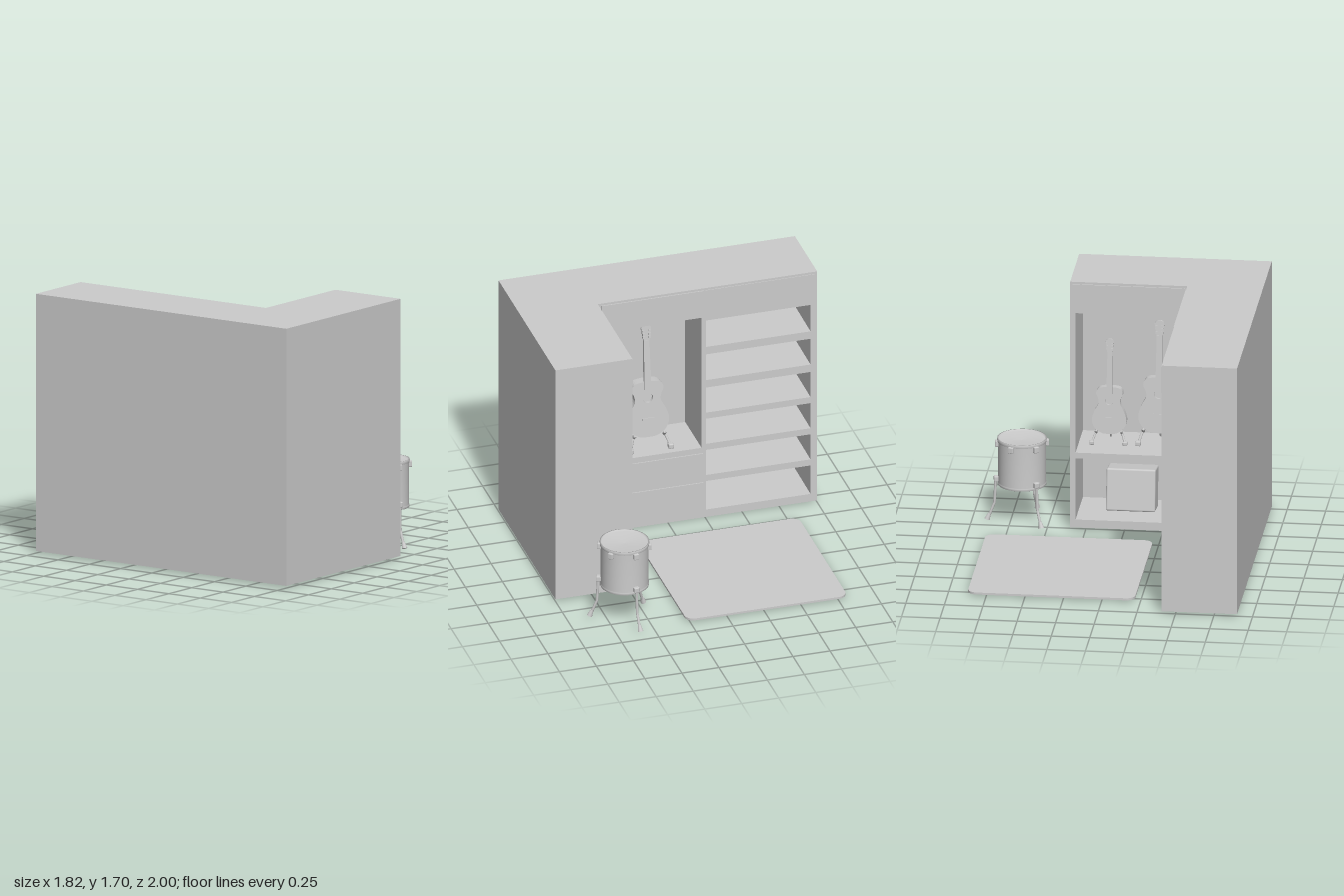
import * as THREE from 'three';
import { RoundedBoxGeometry } from 'three/addons/geometries/RoundedBoxGeometry.js';

const mat = new THREE.MeshStandardMaterial({ color: 0xcccccc });
const V = (x, y, z) => new THREE.Vector3(x, y, z);

function add(parent, name, geometry, x = 0, y = 0, z = 0) {
  const m = new THREE.Mesh(geometry, mat);
  m.name = name;
  m.position.set(x, y, z);
  parent.add(m);
  return m;
}

function group(parent, name, x = 0, y = 0, z = 0, ry = 0) {
  const g = new THREE.Group();
  g.name = name;
  g.position.set(x, y, z);
  g.rotation.y = ry;
  parent.add(g);
  return g;
}

// Box given by its limits
function block(parent, name, x0, x1, y0, y1, z0, z1) {
  return add(parent, name, new THREE.BoxGeometry(x1 - x0, y1 - y0, z1 - z0),
    (x0 + x1) / 2, (y0 + y1) / 2, (z0 + z1) / 2);
}

function rod(parent, name, points, r) {
  const path = new THREE.CurvePath();
  for (let i = 1; i < points.length; i++) path.add(new THREE.LineCurve3(points[i - 1], points[i]));
  return add(parent, name, new THREE.TubeGeometry(path, 24, r, 8));
}

// Inward-facing open box whose back is slightly smaller than its mouth
function recess(parent, name, [x0, x1, y0, y1], depth, [left, right, low, high]) {
  const g = new THREE.BoxGeometry(x1 - x0, y1 - y0, depth);
  g.translate((x0 + x1) / 2, (y0 + y1) / 2, -depth / 2);
  const index = Array.from(g.index.array);
  index.splice(24, 6);
  g.setIndex(index.reverse());
  g.clearGroups();
  const p = g.attributes.position;
  for (let i = 0; i < p.count; i++) {
    if (p.getZ(i) > -depth / 2) continue;
    p.setX(i, p.getX(i) < (x0 + x1) / 2 ? x0 + left : x1 - right);
    p.setY(i, p.getY(i) < (y0 + y1) / 2 ? y0 + low : y1 - high);
  }
  g.computeVertexNormals();
  return add(parent, name, g);
}

// Cabinet front with openings cut through it
function frontFrame(parent, x0, x1, openings) {
  const rect = (C, a, b, c, d) => new C([[a, c], [b, c], [b, d], [a, d]].map(q => new THREE.Vector2(...q)));
  const s = rect(THREE.Shape, x0, x1, 0.01, 1.7);
  for (const o of openings) s.holes.push(rect(THREE.Path, ...o));
  add(parent, 'frontFrame', new THREE.ExtrudeGeometry(s, { depth: 0.02, bevelEnabled: false }), 0, 0, -0.02);
}

function guitar(parent, x, z, scale) {
  const stand = group(parent, 'guitarOnStand', x, 0.525, z);
  stand.scale.setScalar(scale);
  const g = group(stand, 'guitar', 0, 0.08, 0.03);
  g.rotation.x = -0.08;

  // Body outline, mirrored about the centre line
  const half = [[0.06, 0.007], [0.115, 0.045], [0.14, 0.11], [0.122, 0.185], [0.087, 0.255],
    [0.093, 0.3], [0.108, 0.34], [0.088, 0.38], [0.03, 0.393]];
  const outline = [[0, 0], ...half, ...half.map(([a, b]) => [-a, b]).reverse()];
  const curve = new THREE.SplineCurve([...outline, [0, 0]].map(q => new THREE.Vector2(...q)));
  const body = new THREE.Shape(curve.getPoints(90));
  const hole = new THREE.Path();
  hole.absarc(0, 0.277, 0.035, 0, Math.PI * 2, true);
  const back = new THREE.Shape(curve.getPoints(90));
  body.holes.push(hole);
  const opts = d => ({ depth: d, bevelEnabled: false, curveSegments: 20 });
  add(g, 'guitarBody', new THREE.ExtrudeGeometry(body, opts(0.025)), 0, 0, -0.025);
  add(g, 'guitarBack', new THREE.ExtrudeGeometry(back, opts(0.045)), 0, 0, -0.07);

  const neck = new THREE.Shape([[-0.024, 0.34], [0.024, 0.34], [0.018, 0.69], [-0.018, 0.69]]
    .map(q => new THREE.Vector2(...q)));
  add(g, 'guitarNeck', new THREE.ExtrudeGeometry(neck, opts(0.024)), 0, 0, -0.016);
  const head = new THREE.Shape();
  head.moveTo(-0.018, 0.685);
  head.lineTo(0.018, 0.685);
  head.lineTo(0.034, 0.775);
  head.quadraticCurveTo(0.02, 0.8, 0, 0.797);
  head.quadraticCurveTo(-0.02, 0.8, -0.034, 0.775);
  add(g, 'guitarHead', new THREE.ExtrudeGeometry(head, opts(0.018)), 0, 0, -0.014);
  add(g, 'bridge', new THREE.BoxGeometry(0.08, 0.014, 0.008), 0, 0.13, 0.003);
  for (const side of [-1, 1])
    for (let i = 0; i < 3; i++)
      add(g, 'tuningPeg', new THREE.BoxGeometry(0.014, 0.014, 0.016), side * 0.02, 0.712 + i * 0.023, 0.006);

  // Stand: two front legs with cradle arms and a rear prop
  for (const s of [-1, 1]) {
    rod(stand, 'standLeg', [V(s * 0.09, 0.13, -0.06), V(s * 0.105, 0.1, 0.03), V(s * 0.135, 0.015, 0.07)], 0.009);
    rod(stand, 'cradleArm', [V(s * 0.105, 0.09, 0.03), V(s * 0.1, 0.115, 0.05)], 0.012);
    add(stand, 'standFoot', new RoundedBoxGeometry(0.036, 0.034, 0.04, 2, 0.008), s * 0.135, 0.018, 0.07);
  }
  rod(stand, 'standCrossbar', [V(-0.09, 0.13, -0.06), V(0.09, 0.13, -0.06)], 0.009);
  rod(stand, 'standProp', [V(0, 0.13, -0.06), V(0, 0.01, -0.12)], 0.009);
}

function cabinet(root) {
  const cab = group(root, 'cornerCabinet');
  const plan = new THREE.Shape([[-0.9, 1], [-0.41, 1], [-0.41, -0.48], [0.35, -0.48], [0.35, -1], [-0.9, -1]]
    .map(q => new THREE.Vector2(...q)));
  for (const [name, y] of [['cabinetTop', 1.69], ['cabinetBase', 0.01]])
    add(cab, name, new THREE.ExtrudeGeometry(plan, { depth: 0.01, bevelEnabled: false }), 0, y, 0).rotation.x = -Math.PI / 2;
  block(cab, 'longBackWall', -0.9, -0.89, 0.01, 1.7, -1, 1);
  block(cab, 'shortBackWall', -0.9, 0.35, 0.01, 1.7, 0.99, 1);
  block(cab, 'longEndWall', -0.9, -0.41, 0.01, 1.7, -1, -0.99);
  block(cab, 'shortEndWall', 0.34, 0.35, 0.01, 1.7, 0.48, 1);

  // Long wing: guitar alcove, drawers and a column of shelves
  const long = group(cab, 'longWing', -0.41, 0, 0, Math.PI / 2);
  const alcove = [-0.455, 0.22, 0.525, 1.485];
  const shelves = [[0.065, 0.275], [0.32, 0.505], [0.55, 0.735], [0.78, 0.965], [1.02, 1.21], [1.265, 1.46]]
    .map(([a, b]) => [0.25, 0.955, a, b]);
  frontFrame(long, -0.48, 1, [alcove, ...shelves]);
  recess(long, 'longAlcove', alcove, 0.36, [0.022, 0, 0, 0]);
  for (const s of shelves) recess(long, 'shelfBay', s, 0.36, [0, 0, 0.006, 0.014]);
  block(long, 'lowerDrawer', -0.455, 0.23, 0.065, 0.27, -0.01, 0.008);
  block(long, 'upperDrawer', -0.455, 0.23, 0.32, 0.485, -0.01, 0.008);
  block(long, 'topPanel', -0.455, 0.235, 1.505, 1.685, -0.01, 0.008);
  block(long, 'topPanel', 0.245, 0.985, 1.505, 1.685, -0.01, 0.005);
  guitar(long, -0.105, -0.13, 1);

  // Short wing: wide alcove above an open bay
  const short = group(cab, 'shortWing', 0, 0, 0.48, Math.PI);
  const wide = [-0.315, 0.385, 0.525, 1.485], bay = [-0.315, 0.385, 0.065, 0.485];
  frontFrame(short, -0.35, 0.41, [wide, bay]);
  recess(short, 'shortAlcove', wide, 0.42, [0, 0, 0, 0]);
  recess(short, 'lowerBay', bay, 0.42, [0, 0, 0, 0]);
  block(short, 'topPanel', -0.335, 0.395, 1.505, 1.685, -0.01, 0.008);
  guitar(short, 0.2, -0.24, 0.95);
  guitar(short, -0.12, -0.22, 0.8);
  const amp = add(short, 'amplifier', new RoundedBoxGeometry(0.32, 0.28, 0.18, 2, 0.012), 0.03, 0.225, -0.2);
  amp.rotation.x = -0.15;
}

function drum(root) {
  const d = group(root, 'floorDrum', 0.68, 0, 0.635);
  const profile = [[0, 0.24], [0.152, 0.24], [0.158, 0.243], [0.158, 0.258], [0.154, 0.26], [0.154, 0.535],
    [0.16, 0.537], [0.16, 0.558], [0.153, 0.558], [0.15, 0.546], [0, 0.54]].map(q => new THREE.Vector2(...q));
  const shell = new THREE.LatheGeometry(profile, 40);
  add(d, 'drumShell', shell);
  // Three legs and six lugs around the shell
  for (let i = 0; i < 6; i++) {
    const spoke = group(d, 'drumSide', 0, 0, 0, -(Math.PI * (0.61 + i / 3)));
    add(spoke, 'lug', new RoundedBoxGeometry(0.026, 0.042, 0.036, 2, 0.006), 0.162, 0.522, 0);
    if (i % 2) continue;
    add(spoke, 'legBracket', new RoundedBoxGeometry(0.03, 0.036, 0.038, 2, 0.006), 0.167, 0.28, 0);
    rod(spoke, 'drumLeg', [V(0.172, 0.29, 0), V(0.172, 0.23, 0), V(0.178, 0.115, 0), V(0.215, 0.02, 0)], 0.009);
    const foot = add(spoke, 'rubberFoot', new THREE.CylinderGeometry(0.01, 0.018, 0.042, 12), 0.218, 0.022, 0);
    foot.rotation.z = 0.37;
  }
}

function rug(root) {
  const w = 0.5425, h = 0.5425, r = 0.06, s = new THREE.Shape();
  s.absarc(w - r, h - r, r, 0, Math.PI / 2);
  s.absarc(-w + r, h - r, r, Math.PI / 2, Math.PI);
  s.absarc(-w + r, -h + r, r, Math.PI, Math.PI * 1.5);
  s.absarc(w - r, -h + r, r, Math.PI * 1.5, Math.PI * 2);
  add(root, 'rug', new THREE.ExtrudeGeometry(s, { depth: 0.014, bevelEnabled: false }), 0.33, 0.005, -0.27)
    .rotation.x = -Math.PI / 2;
}

export function createModel() {
  const root = new THREE.Group();
  root.name = 'musicCorner';
  cabinet(root);
  rug(root);
  drum(root);
  return root;
}
